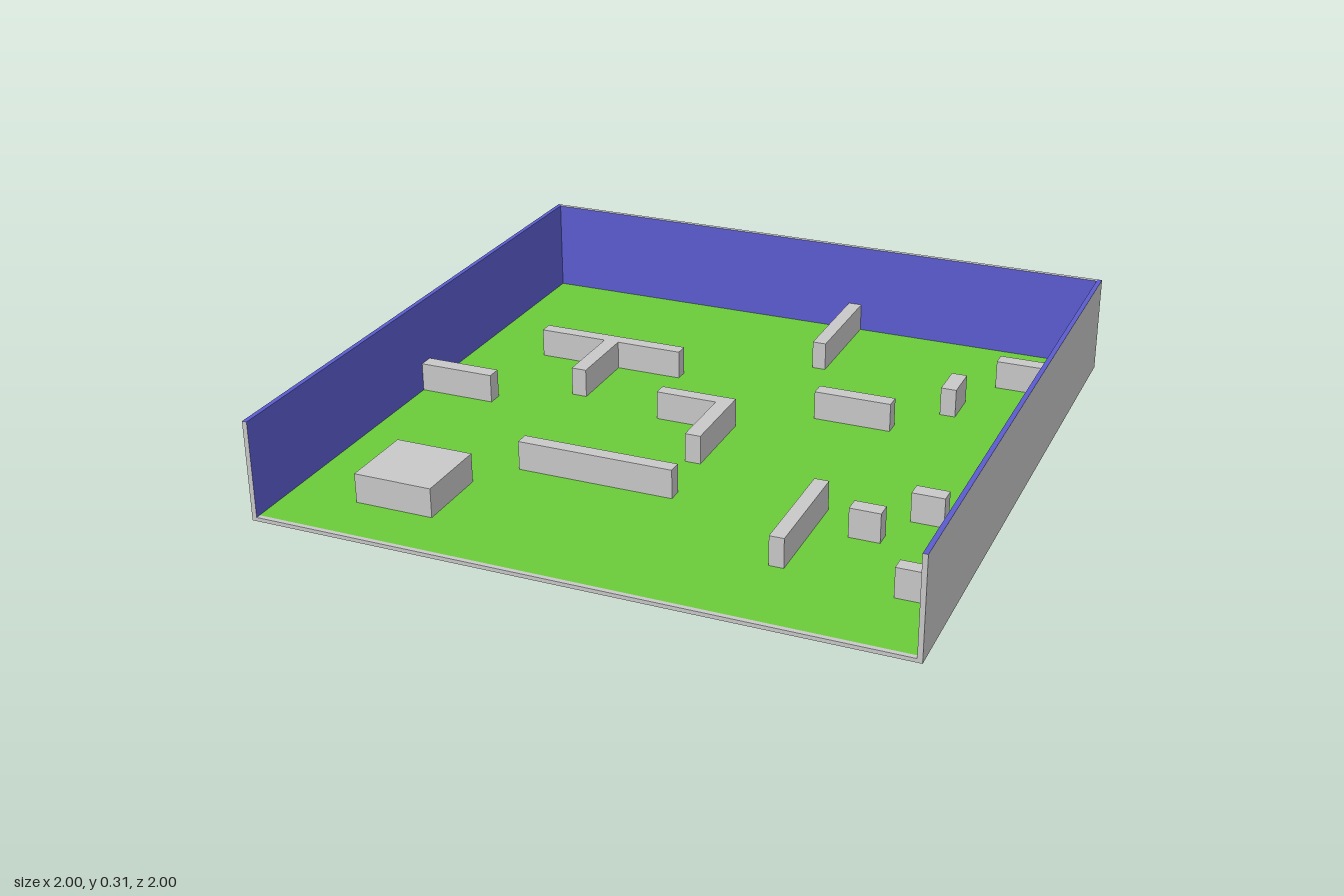
import * as THREE from 'three';

const H = 0.315;      // height of the perimeter walls
const T = 0.015;      // wall thickness
const FLOOR = 0.012;  // floor thickness
const BLOCK = 0.105;  // top of the inner blocks
const I = 1 - T;      // inner face of the perimeter

export function createModel() {
  const model = new THREE.Group();
  const mat = (name, color) => {
    const m = new THREE.MeshStandardMaterial({ color });
    m.name = name;
    return m;
  };
  const grey = mat('grey', 0xc8c8c8);
  const green = mat('green', 0x6acb3a);
  const blue = mat('blue', 0x5c5cd0);

  // Box between two corners; painted maps a face index (+x -x +y -y +z -z) to a material
  function box(name, [x0, x1], [y0, y1], [z0, z1], painted = {}) {
    const geo = new THREE.BoxGeometry(x1 - x0, y1 - y0, z1 - z0);
    const mats = Array.from({ length: 6 }, (_, i) => painted[i] ?? grey);
    const mesh = new THREE.Mesh(geo, mats);
    mesh.position.set((x0 + x1) / 2, (y0 + y1) / 2, (z0 + z1) / 2);
    mesh.name = name;
    model.add(mesh);
  }

  // Green floor with a bare sill along the open front
  box('floor', [-I, I], [0, FLOOR], [-I, I], { 2: green });
  box('frontSill', [-I, I], [0, FLOOR], [I, 1]);

  // Three perimeter walls, blue inside
  box('backWall', [-I, I], [0, H], [-1, -I], { 4: blue });
  box('leftWall', [I, 1], [0, H], [-1, 1], { 1: blue, 2: blue });
  box('rightWall', [-1, -I], [0, H], [-1, 1], { 0: blue, 2: blue });

  // Low partitions and blocks: x range, z range
  const blocks = [
    ['backPartition', [0.13, 0.175], [-I, -0.61]],
    ['leftBackPartition', [0.74, I], [-0.735, -0.685]],
    ['leftPost', [0.63, 0.68], [-0.54, -0.415]],
    ['teeBar', [-0.75, -0.25], [-0.405, -0.36]],
    ['teeStem', [-0.52, -0.47], [-0.36, -0.11]],
    ['freePartition', [0.27, 0.52], [-0.285, -0.235]],
    ['cornerBar', [-0.19, 0.06], [-0.09, -0.045]],
    ['cornerStem', [0.01, 0.06], [-0.045, 0.2]],
    ['rightPartition', [-I, -0.735], [-0.005, 0.045]],
    ['leftStub', [0.885, I], [0.055, 0.1]],
    ['smallBlockA', [0.755, 0.855], [0.26, 0.31]],
    ['smallBlockB', [0.62, 0.715], [0.415, 0.465]],
    ['frontLongPartition', [0.47, 0.515], [0.33, 0.7]],
    ['crossPartition', [-0.43, 0.07], [0.395, 0.44]],
    ['squareBlock', [-0.77, -0.52], [0.565, 0.81]],
    ['leftFrontPartition', [0.84, I], [0.69, 0.735]],
  ];
  for (const [name, x, z] of blocks) box(name, x, [FLOOR, BLOCK], z);

  return model;
}
